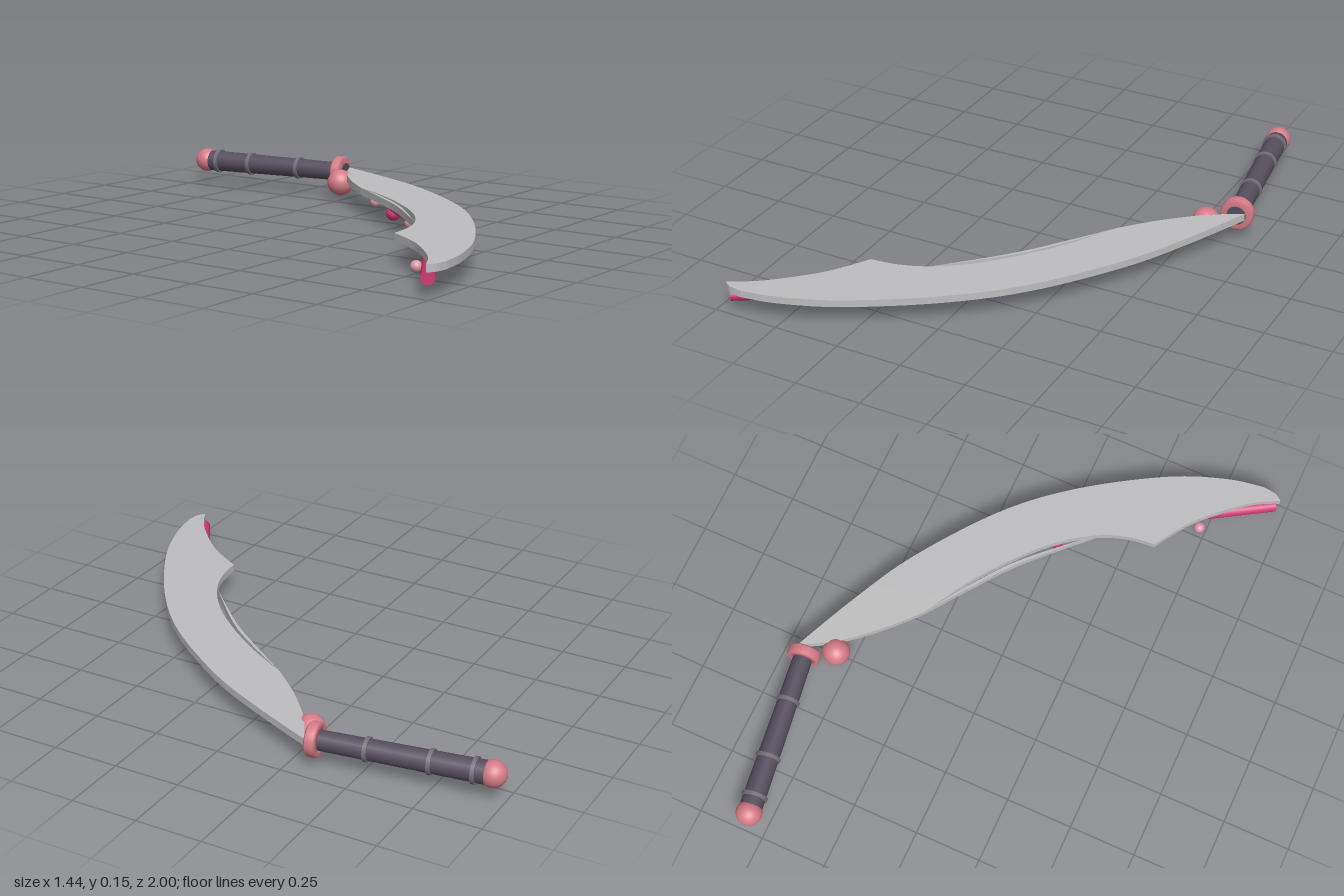
import * as THREE from 'three';

const mat = (name, color, side = THREE.FrontSide) => {
  const m = new THREE.MeshStandardMaterial({ color, side });
  m.name = name;
  return m;
};

export function createModel() {
  const group = new THREE.Group();
  group.name = 'curvedSword';
  const steel = mat('steel', 0xbebec0);
  const grip = mat('gripPurple', 0x564e5e);
  const band = mat('bandGrey', 0x77707a);
  const rose = mat('rosePink', 0xd67c86);
  const magenta = mat('magenta', 0xcb3a70);
  const blush = mat('blushPink', 0xdc98a4);

  const add = (name, geo, material, pos = [0, 0, 0], parent = group) => {
    const m = new THREE.Mesh(geo, material);
    m.name = name;
    m.position.set(...pos);
    parent.add(m);
    return m;
  };
  const ball = (name, r, material, pos, parent) =>
    add(name, new THREE.SphereGeometry(r, 24, 16), material, pos, parent);

  // Flat plates are outlined in (x, z) and extruded upwards
  const plate = (name, runs, y, depth) => {
    const shape = new THREE.Shape();
    shape.moveTo(runs[0][0][0], -runs[0][0][1]);
    for (const run of runs) {
      const pts = run.map(([x, z]) => new THREE.Vector2(x, -z));
      shape.splineThru(pts.slice(1));
    }
    const geo = new THREE.ExtrudeGeometry(shape, { depth, bevelEnabled: false, curveSegments: 10 });
    geo.rotateX(-Math.PI / 2);
    return add(name, geo, steel, [0, y, 0]);
  };

  // Blade: cutting edge, tip, hooked back and spine
  plate('blade', [
    [[0.69, -0.31], [0.58, -0.06], [0.45, 0.19], [0.23, 0.49], [0, 0.7], [-0.29, 0.885], [-0.5, 0.97], [-0.64, 0.997]],
    [[-0.64, 0.997], [-0.69, 0.99], [-0.72, 0.97]],
    [[-0.72, 0.97], [-0.63, 0.92], [-0.54, 0.845], [-0.44, 0.74], [-0.355, 0.607]],
    [[-0.355, 0.607], [-0.25, 0.593], [-0.14, 0.55], [-0.02, 0.465], [0.09, 0.35], [0.21, 0.19], [0.32, 0]],
    [[0.32, 0], [0.42, -0.11], [0.53, -0.21], [0.6, -0.26], [0.69, -0.31]],
  ], 0.08, 0.027);

  // Slim rail standing just off the spine
  plate('spineRail', [
    [[0.32, 0], [0.2, 0.185], [0.075, 0.345], [-0.14, 0.55]],
    [[-0.14, 0.55], [0.067, 0.338], [0.192, 0.178], [0.32, 0]],
  ], 0.08, 0.027);

  // Rod slung under the blade, with closed ends
  const rod = new THREE.CatmullRomCurve3([
    [0.46, -0.02], [0.3, 0.165], [0.15, 0.34], [0.02, 0.495], [-0.15, 0.62], [-0.31, 0.725], [-0.705, 0.968],
  ].map(([x, z]) => new THREE.Vector3(x, 0.06, z)));
  add('rod', new THREE.TubeGeometry(rod, 48, 0.025, 12), magenta);
  for (const t of [0, 1]) {
    const dir = rod.getTangent(t).multiplyScalar(t ? 1 : -1);
    const cap = add('rodEnd', new THREE.CircleGeometry(0.025, 12), magenta, rod.getPoint(t).toArray());
    cap.quaternion.setFromUnitVectors(new THREE.Vector3(0, 0, 1), dir);
  }

  // Alternating small and large beads below the rod
  [[0.445, -0.015], [0.3, 0.165], [0.15, 0.34], [0, 0.5], [-0.15, 0.625], [-0.31, 0.72], [-0.475, 0.775]]
    .forEach(([x, z], i) => {
      if (i % 2) ball('largeBead', 0.028, magenta, [x, 0.028, z]);
      else ball('smallBead', 0.021, blush, [x, 0.033, z]);
    });

  // Ball beside the guard
  ball('guardBall', 0.052, rose, [0.557, 0.068, -0.262]);

  // Handle, built along its own +y and laid down pointing backwards
  const handle = new THREE.Group();
  handle.name = 'handle';
  const start = new THREE.Vector3(0.657, 0.093, -0.305);
  const end = new THREE.Vector3(0.565, 0.095, -0.952);
  const length = start.distanceTo(end);
  handle.position.copy(start);
  handle.quaternion.setFromUnitVectors(new THREE.Vector3(0, 1, 0), end.clone().sub(start).normalize());
  group.add(handle);

  add('gripShaft', new THREE.CylinderGeometry(0.042, 0.036, length, 20), grip, [0, length / 2, 0], handle);
  for (const [y, r] of [[0.215, 0.041], [0.44, 0.043], [0.592, 0.045]]) {
    add('gripBand', new THREE.CylinderGeometry(r + 0.003, r + 0.003, 0.014, 20), band, [0, y, 0], handle);
  }
  const ring = [[0.035, 0], [0.057, 0], [0.062, 0.006], [0.062, 0.034], [0.057, 0.04], [0.035, 0.04], [0.035, 0]];
  add('guardRing', new THREE.LatheGeometry(ring.map(([r, y]) => new THREE.Vector2(r, y)), 28),
    rose, [0, 0.005, 0], handle);
  ball('pommel', 0.048, rose, [0, length, 0], handle);

  return group;
}
